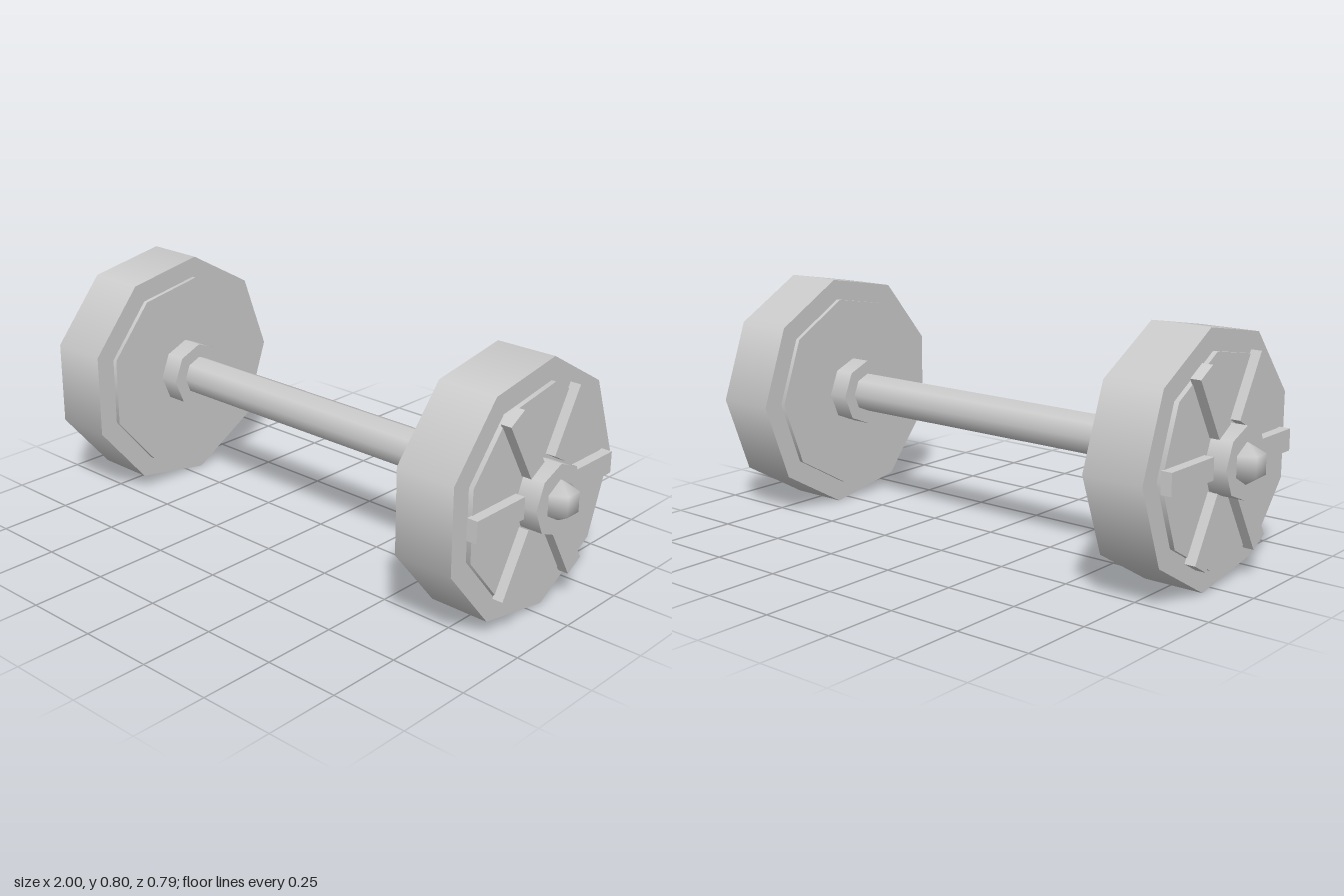
import * as THREE from 'three';

const AXIS_Y = 0.399, AXIS_Z = 0.0125;

export function createModel() {
  const model = new THREE.Group();
  model.name = 'dumbbell';
  const material = new THREE.MeshStandardMaterial({ color: 0xcccccc });

  // Everything is laid out around the x axis, then lifted as one assembly
  const assembly = new THREE.Group();
  assembly.name = 'assembly';
  assembly.position.set(0, AXIS_Y, AXIS_Z);
  model.add(assembly);

  function addMesh(parent, name, geometry) {
    const mesh = new THREE.Mesh(geometry, material);
    mesh.name = name;
    parent.add(mesh);
    return mesh;
  }

  // Low-sided cylinder along x from x0 to x1, with one corner pointing to -z
  function addDisc(parent, name, radius, sides, x0, x1) {
    const geometry = new THREE.CylinderGeometry(radius, radius, x1 - x0, sides, 1, false, Math.PI);
    geometry.rotateZ(-Math.PI / 2);
    geometry.translate((x0 + x1) / 2, 0, 0);
    return addMesh(parent, name, geometry);
  }

  // Handle bar
  addDisc(assembly, 'bar', 0.067, 8, -0.66, 0.66);

  for (const side of [1, -1]) {
    const weight = new THREE.Group();
    weight.name = side > 0 ? 'leftWeight' : 'rightWeight';
    // Half a turn about z swaps the ends; the parts are symmetric in y
    weight.rotation.z = side > 0 ? 0 : Math.PI;
    assembly.add(weight);

    // Plate, raised inner disc and collar through the hub
    addDisc(weight, 'plate', 0.405, 9, 0.658, 0.861);
    addDisc(weight, 'innerDisc', 0.334, 9, 0.643, 0.877);
    addDisc(weight, 'collar', 0.113, 8, 0.572, 0.951);

    // Six spokes on the outer face
    for (let i = 0; i < 6; i++) {
      const spoke = new THREE.BoxGeometry(0.036, 0.07, 0.221);
      spoke.translate(0.892, 0, 0.2235);
      spoke.rotateX(i * Math.PI / 3);
      addMesh(weight, 'spoke', spoke);
    }

    // Faceted end knob
    const knob = new THREE.SphereGeometry(0.065, 6, 3);
    knob.rotateY(Math.PI / 2);
    knob.translate(0.951, 0, 0);
    addMesh(weight, 'endKnob', knob);
  }

  return model;
}
